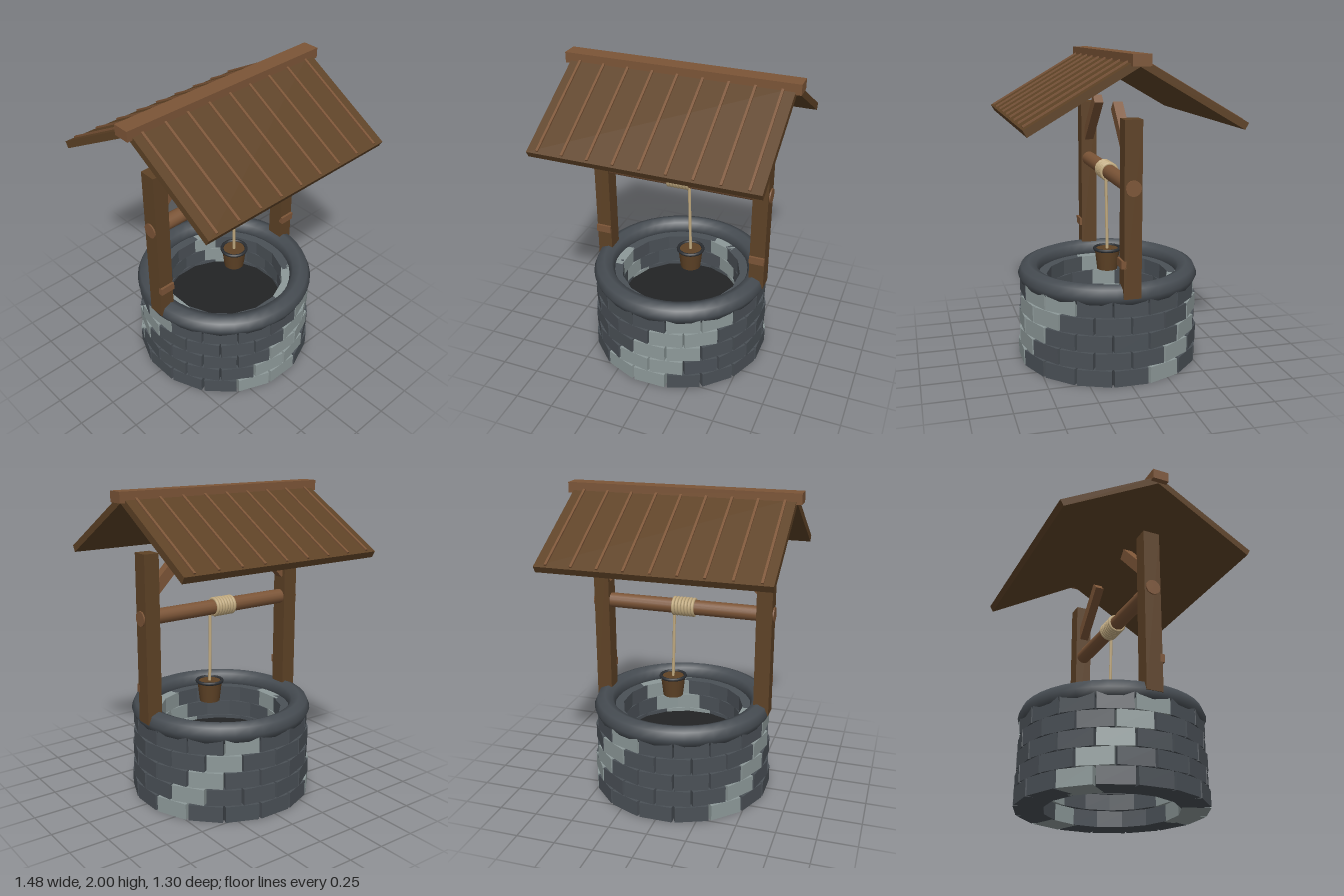
import * as THREE from 'three';

const mat = (name, color) => {
  const m = new THREE.MeshStandardMaterial({ color });
  m.name = name;
  return m;
};

export function createModel() {
  const darkStone = mat('dark stone', 0x4a5056);
  const lightStone = mat('light stone', 0x8d9999);
  const rimStone = mat('rim stone', 0x464c52);
  const shadow = mat('well water', 0x222324);
  const darkWood = mat('dark wood', 0x5e4226);
  const lightWood = mat('light wood', 0x7c5537);
  const ropeTan = mat('rope', 0xc2ab80);
  const iron = mat('iron', 0x2b2e32);

  const model = new THREE.Group();
  model.name = 'well';
  const group = (name) => {
    const g = new THREE.Group();
    g.name = name;
    model.add(g);
    return g;
  };
  const add = (parent, name, geometry, material, x = 0, y = 0, z = 0) => {
    const mesh = new THREE.Mesh(geometry, material);
    mesh.name = name;
    mesh.position.set(x, y, z);
    parent.add(mesh);
    return mesh;
  };
  const box = (w, h, d) => new THREE.BoxGeometry(w, h, d);

  // Stone wall: five staggered courses that taper slightly inward
  const wall = group('stoneWall');
  const stone = box(0.214, 0.104, 0.175);
  const count = 16;
  for (let row = 0; row < 5; row++) {
    const r = 0.585 - row * 0.004 - 0.0875;
    for (let i = 0; i < count; i++) {
      const a = ((i + row / 2) / count) * Math.PI * 2;
      const s = add(wall, 'stone', stone, i % 5 === 0 ? lightStone : darkStone,
        Math.sin(a) * r, 0.052 + row * 0.11, Math.cos(a) * r);
      s.rotation.y = a;
    }
  }

  // Rounded rim and dark water surface
  add(model, 'rim', new THREE.TorusGeometry(0.52, 0.07, 8, 40), rimStone, 0, 0.565, 0).rotation.x = Math.PI / 2;
  add(model, 'water', new THREE.CylinderGeometry(0.43, 0.43, 0.01, 32), shadow, 0, 0.295, 0);

  // Posts with front blocks and diagonal braces
  const frame = group('frame');
  for (const side of [-1, 1]) {
    add(frame, 'post', box(0.1, 1.07, 0.108), darkWood, side * 0.541, 1.095, 0);
    add(frame, 'postBlock', box(0.1, 0.05, 0.03), lightWood, side * 0.541, 0.775, 0.055);
    const brace = add(frame, 'brace', box(0.07, 0.4, 0.06), lightWood, side * 0.368, 1.534, 0);
    brace.rotation.z = side * Math.PI / 4;
  }

  // Winding drum with rope coils
  const winch = group('winch');
  add(winch, 'drum', new THREE.CylinderGeometry(0.048, 0.048, 1.2, 16), lightWood, 0, 1.233, 0).rotation.z = Math.PI / 2;
  const coil = new THREE.TorusGeometry(0.052, 0.011, 8, 24);
  for (let i = 0; i < 7; i++) {
    add(winch, 'ropeCoil', coil, ropeTan, -0.075 + i * 0.0215, 1.233, 0).rotation.y = Math.PI / 2;
  }

  // Hanging rope
  const path = new THREE.CatmullRomCurve3([
    new THREE.Vector3(0.066, 1.2, 0.025),
    new THREE.Vector3(0.069, 0.97, 0.022),
    new THREE.Vector3(0.075, 0.725, 0.02),
  ]);
  add(model, 'hangingRope', new THREE.TubeGeometry(path, 10, 0.01, 8), ropeTan);

  // Bucket with iron rim
  const bucket = group('bucket');
  bucket.position.set(0.075, 0, 0.02);
  add(bucket, 'bucketBody', new THREE.CylinderGeometry(0.082, 0.066, 0.135, 16), darkWood, 0, 0.667, 0);
  add(bucket, 'bucketRim', new THREE.TorusGeometry(0.082, 0.011, 8, 20), iron, 0, 0.734, 0).rotation.x = Math.PI / 2;

  // Roof: two sloped panels with battens, and a ridge beam
  const roof = group('roof');
  const panelGeo = box(1.41, 0.045, 0.728);
  const battenGeo = box(0.015, 0.018, 0.7);
  for (const side of [1, -1]) {
    const slope = new THREE.Group();
    slope.name = side > 0 ? 'frontSlope' : 'backSlope';
    slope.position.set(0, 1.767, side * 0.326);
    slope.rotation.x = side * Math.PI / 6;
    add(slope, 'roofPanel', panelGeo, darkWood);
    for (let i = 0; i < 9; i++) {
      add(slope, 'batten', battenGeo, lightWood, -0.64 + i * 0.159, 0.0235, 0);
    }
    roof.add(slope);
  }
  add(roof, 'ridgeBeam', box(1.48, 0.066, 0.108), lightWood, 0, 1.967, 0);

  return model;
}
